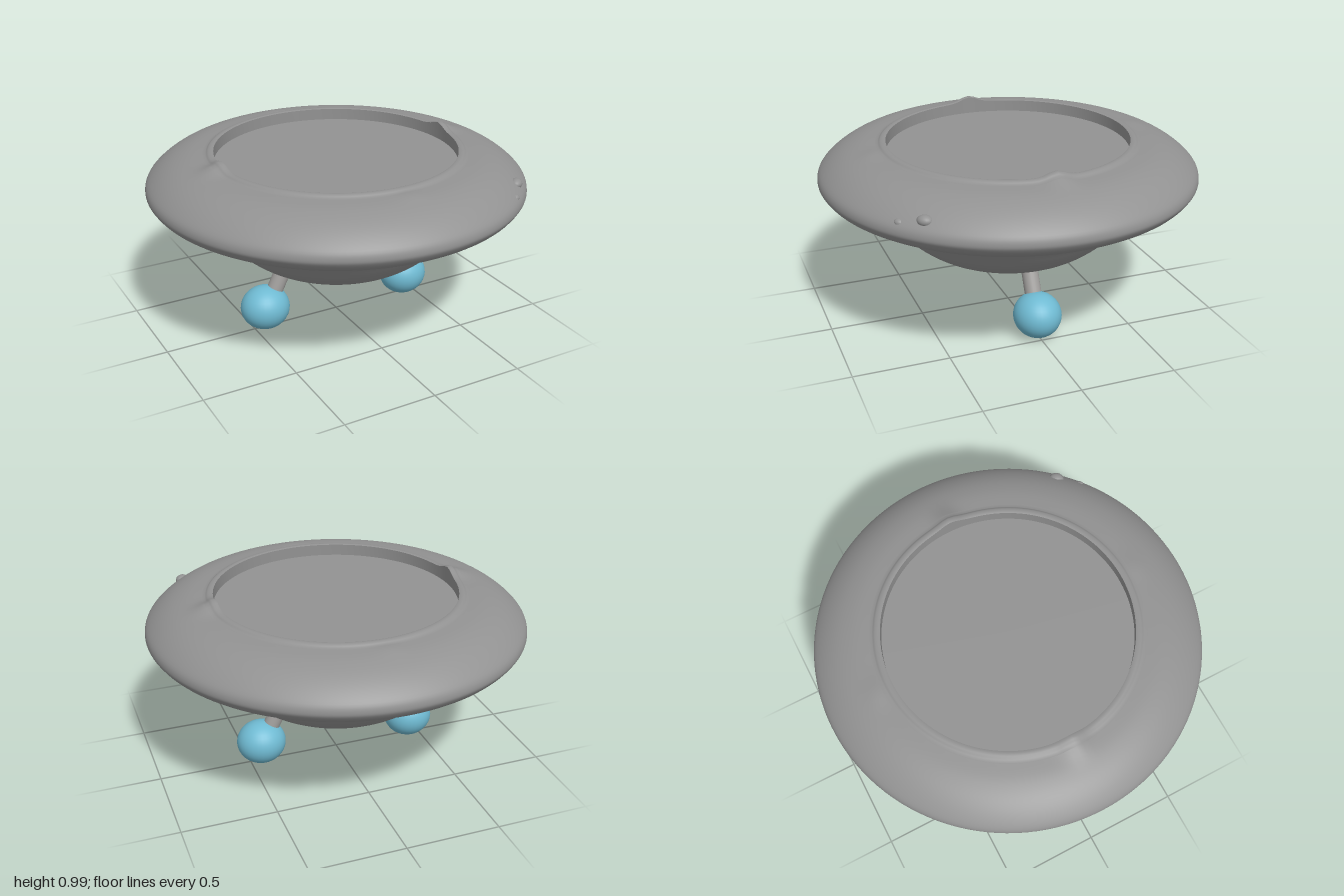
import * as THREE from 'three';
import { mergeVertices } from 'three/addons/utils/BufferGeometryUtils.js';

const SEGMENTS = 128;
const FLOOR_Y = 0.9;
const RIM_R = 0.64;

// Soft swellings on the upper deck: tall at the sides, faint at front and back
function deckSwelling(x, y, z) {
  if (y < 0.86) return 0;
  const r = Math.hypot(x, z);
  const bell = (d, w) => Math.exp(-((d / w) ** 2));
  const side = 0.03 * bell(z, 0.065) * bell(Math.max(0, r - 0.67), 0.075);
  const ends = 0.007 * bell(x, 0.07) * bell(r - 0.73, 0.05);
  return side + ends;
}

// Revolved surface with the swellings applied and seamless smooth normals
function revolve(points) {
  let geo = new THREE.LatheGeometry(points, SEGMENTS);
  geo.deleteAttribute('uv');
  geo.deleteAttribute('normal');
  geo = mergeVertices(geo, 1e-4);
  const p = geo.attributes.position;
  for (let i = 0; i < p.count; i++) {
    const x = p.getX(i), y = p.getY(i), z = p.getZ(i);
    p.setY(i, y + (y > FLOOR_Y + 0.001 || Math.hypot(x, z) > 0.7 ? deckSwelling(x, y, z) : 0));
  }
  geo.computeVertexNormals();
  return geo;
}

const toPoints = (list) => list.map(([r, y]) => new THREE.Vector2(r, y));

export function createModel() {
  const model = new THREE.Group();
  const hullGrey = new THREE.MeshStandardMaterial({ name: 'hull grey', color: 0x929292 });
  const legGrey = new THREE.MeshStandardMaterial({ name: 'leg grey', color: 0xa09e9c });
  const footBlue = new THREE.MeshStandardMaterial({ name: 'foot blue', color: 0x6fbad2 });

  const add = (name, geometry, material, parent = model) => {
    const mesh = new THREE.Mesh(geometry, material);
    mesh.name = name;
    parent.add(mesh);
    return mesh;
  };

  // Saucer hull: bowl below, flared round edge, sloping deck
  const hullCurve = new THREE.SplineCurve(toPoints([
    [0, 0.28], [0.1, 0.283], [0.2, 0.294], [0.33, 0.327], [0.46, 0.385],
    [0.57, 0.47], [0.66, 0.575], [0.74, 0.637], [0.85, 0.665], [0.95, 0.715],
    [0.99, 0.755], [1, 0.785], [0.985, 0.825], [0.93, 0.875], [0.86, 0.915],
    [0.78, 0.94], [0.7, 0.95],
  ]));
  const hullPoints = hullCurve.getPoints(64);
  hullPoints[0].x = 0;
  add('hull', revolve(hullPoints), hullGrey);

  // Raised lip around the opening
  add('rimLip', revolve(toPoints([
    [0.7, 0.95], [0.682, 0.951], [0.675, 0.958], [0.665, 0.964], [0.65, 0.965], [RIM_R, 0.962],
  ])), hullGrey);

  // Recessed round opening
  add('openingWall', revolve(toPoints([[RIM_R, 0.962], [RIM_R, FLOOR_Y]])), hullGrey);
  add('openingFloor', new THREE.CircleGeometry(RIM_R, SEGMENTS).rotateX(-Math.PI / 2), hullGrey)
    .position.y = FLOOR_Y;

  // Two small knobs on the front left of the deck
  for (const [x, y, z, r] of [[0.68, 0.853, 0.655, 0.036], [0.6, 0.828, 0.755, 0.024]]) {
    const knob = add('knob', new THREE.SphereGeometry(r, 20, 14), hullGrey);
    knob.position.set(x, y, z);
    knob.rotation.y = Math.atan2(x, z);
    knob.scale.set(1.1, 0.75, 0.9);
  }

  // Splayed legs with ball feet
  for (const side of [-1, 1]) {
    const leg = new THREE.Group();
    leg.name = side > 0 ? 'leftLeg' : 'rightLeg';
    model.add(leg);
    const top = new THREE.Vector3(side * 0.29, 0.385, 0);
    const bottom = new THREE.Vector3(side * 0.41, 0.14, 0);
    const strut = add('strut',
      new THREE.CylinderGeometry(0.044, 0.044, top.distanceTo(bottom), 24), legGrey, leg);
    strut.position.copy(top).add(bottom).multiplyScalar(0.5);
    strut.quaternion.setFromUnitVectors(new THREE.Vector3(0, 1, 0), top.clone().sub(bottom).normalize());
    const foot = add('ballFoot', new THREE.SphereGeometry(1, 32, 20), footBlue, leg);
    foot.position.set(side * 0.435, 0.12, 0);
    foot.scale.set(0.134, 0.12, 0.126);
  }

  return model;
}
